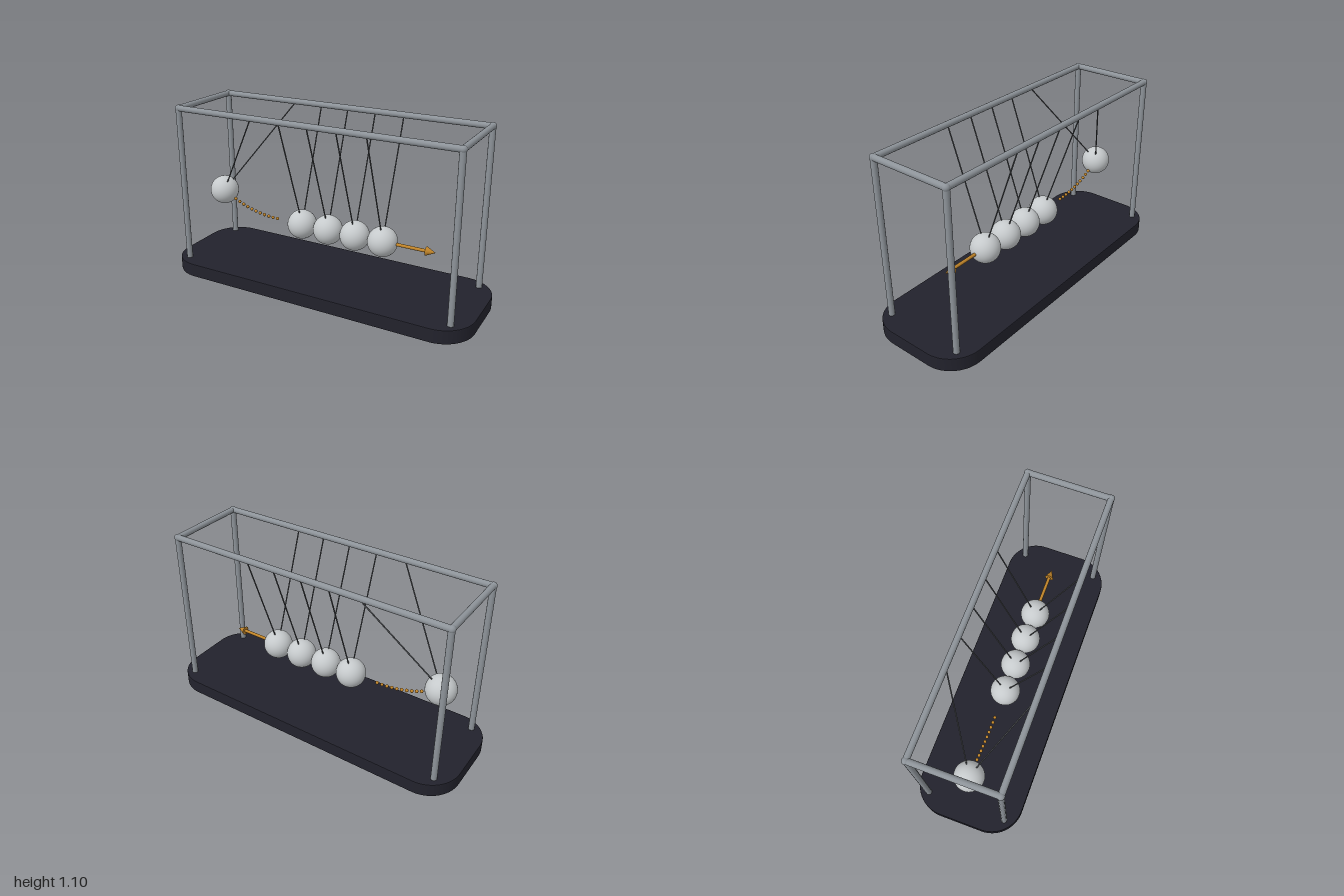
import * as THREE from 'three';

export function createModel() {
  const model = new THREE.Group();
  const material = (name, color) => {
    const m = new THREE.MeshStandardMaterial({ color });
    m.name = name;
    return m;
  };
  const baseMat = material('dark base', 0x22222c);
  const frameMat = material('frame grey', 0x8d9399);
  const ballMat = material('ball silver', 0xc6cacc);
  const stringMat = material('string grey', 0x56595d);
  const goldMat = material('gold', 0xc08429);

  const add = (name, geometry, mat, pos) => {
    const mesh = new THREE.Mesh(geometry, mat);
    mesh.name = name;
    if (pos) mesh.position.copy(pos);
    model.add(mesh);
    return mesh;
  };
  const v = (x, y, z) => new THREE.Vector3(x, y, z);
  const up = v(0, 1, 0);

  // Cylinder (or cone) running from a to b
  const rod = (name, a, b, r0, r1, mat, sides = 20) => {
    const dir = b.clone().sub(a);
    const mesh = add(name, new THREE.CylinderGeometry(r1, r0, dir.length(), sides), mat,
      a.clone().add(b).multiplyScalar(0.5));
    mesh.quaternion.setFromUnitVectors(up, dir.normalize());
    return mesh;
  };

  // Base slab with rounded corners and a fine bevel
  const bevel = 0.005, hx = 1 - bevel, hz = 0.337 - bevel, r = 0.195, baseH = 0.086;
  const outline = new THREE.Shape();
  outline.absarc(hx - r, hz - r, r, 0, Math.PI / 2);
  outline.absarc(-hx + r, hz - r, r, Math.PI / 2, Math.PI);
  outline.absarc(-hx + r, -hz + r, r, Math.PI, Math.PI * 1.5);
  outline.absarc(hx - r, -hz + r, r, Math.PI * 1.5, Math.PI * 2);
  const slab = new THREE.ExtrudeGeometry(outline, {
    depth: baseH - 2 * bevel, bevelEnabled: true, bevelSize: bevel,
    bevelThickness: bevel, bevelSegments: 2, curveSegments: 12,
  });
  slab.rotateX(-Math.PI / 2).translate(0, bevel, 0);
  add('base', slab, baseMat);

  // Frame: posts, joints and rails
  const px = 0.893, pz = 0.252, topY = 1.075, pipe = 0.0185;
  for (const sx of [-1, 1]) {
    for (const sz of [-1, 1]) {
      const corner = v(sx * px, topY, sz * pz);
      rod('post', v(sx * px, baseH - 0.01, sz * pz), corner, pipe, pipe, frameMat);
      add('joint', new THREE.SphereGeometry(0.0215, 20, 14), frameMat, corner);
    }
    rod('endRail', v(sx * px, topY, -pz), v(sx * px, topY, pz), pipe, pipe, frameMat);
  }
  for (const sz of [-1, 1]) {
    rod('longRail', v(-px, topY, sz * pz), v(px, topY, sz * pz), pipe, pipe, frameMat);
  }

  // Five balls, each on two strings; the first is swung outward
  const spacing = 0.1835, ballR = 0.0915, drop = 0.707, swing = THREE.MathUtils.degToRad(35);
  const onArc = (x, angle) => v(x - Math.sin(angle) * drop, topY - Math.cos(angle) * drop, 0);
  for (let i = -2; i <= 2; i++) {
    const centre = onArc(i * spacing, i === -2 ? swing : 0);
    add('ball', new THREE.SphereGeometry(ballR, 40, 28), ballMat, centre);
    for (const sz of [-1, 1]) {
      rod('string', centre, v(i * spacing, topY, sz * pz), 0.004, 0.004, stringMat, 8);
    }
  }

  // Dotted trail along the swing
  for (let i = 0; i <= 10; i++) {
    add('trailDot', new THREE.SphereGeometry(0.0105, 12, 8), goldMat,
      onArc(-2 * spacing, (swing * i) / 13));
  }

  // Arrow leaving the last ball
  const arrowY = topY - drop;
  rod('arrowShaft', v(0.44, arrowY, 0), v(0.645, arrowY, 0), 0.01, 0.01, goldMat, 16);
  rod('arrowHead', v(0.64, arrowY, 0), v(0.697, arrowY, 0), 0.0275, 0, goldMat, 24);

  return model;
}
